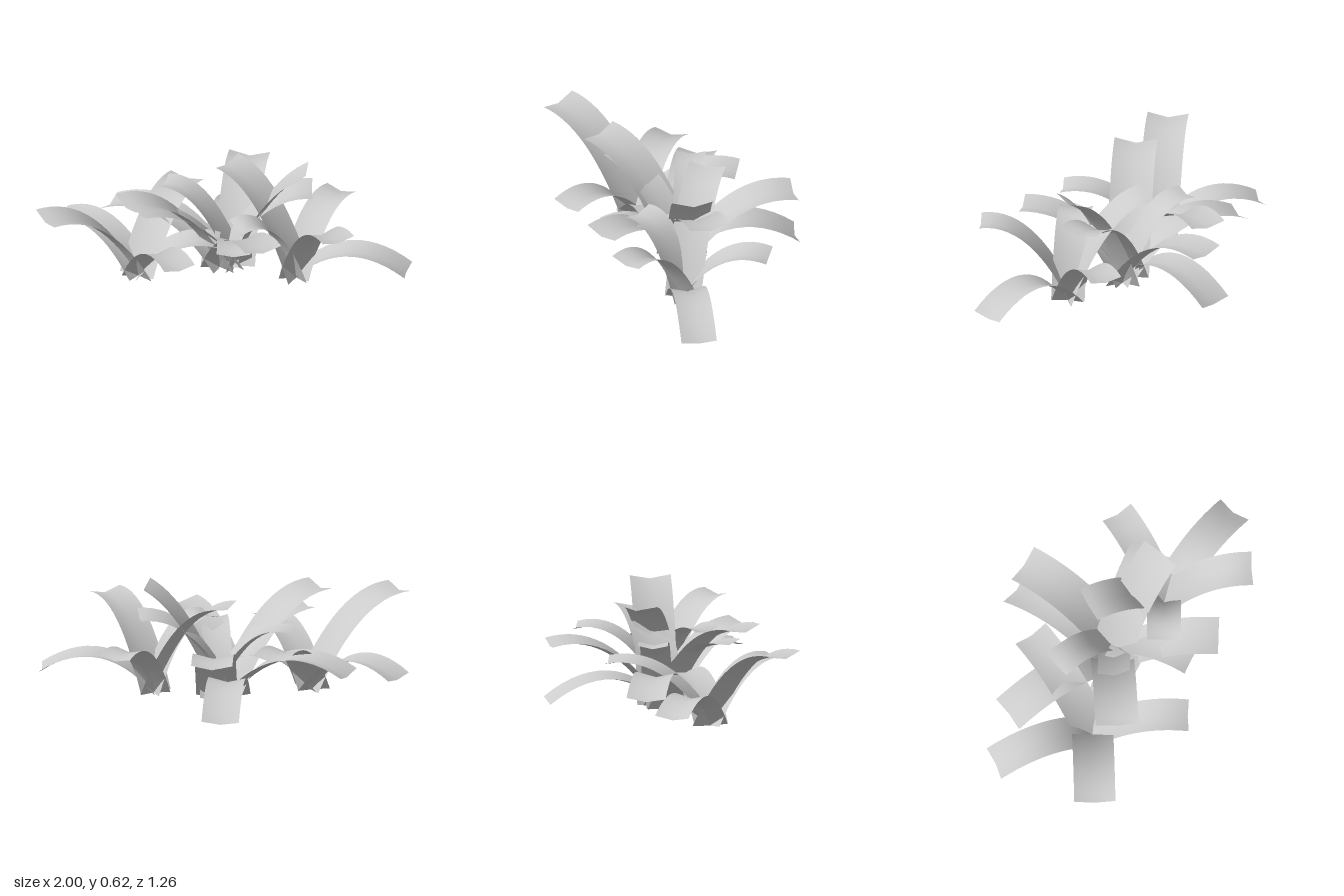
import * as THREE from 'three';

const material = new THREE.MeshStandardMaterial({ color: 0xcccccc, side: THREE.DoubleSide });
const STEPS = 14;

// Leaf blade: a strip of constant width with a shallow V fold, swept along an arch.
// tip = [x, y, z], rise = height of the arch's control point.
function leaf([bx, bz], [tx, ty, tz], rise, width) {
  const dx = tx - bx, dz = tz - bz;
  const reach = Math.hypot(dx, dz);
  const out = new THREE.Vector3(dx / reach, 0, dz / reach);
  const side = new THREE.Vector3(-out.z, 0, out.x);
  const fold = width * 0.12;
  const positions = [], index = [];
  for (let i = 0; i <= STEPS; i++) {
    const t = i / STEPS, a = 2 * t * (1 - t), b = t * t;
    const r = (a * 0.45 + b) * reach;
    const y = a * rise + b * ty;
    // arch tangent, then the normal on the upper side
    const dr = (0.9 * (1 - 2 * t) + 2 * t) * reach;
    const dy = 2 * (1 - 2 * t) * rise + 2 * t * ty;
    const len = Math.hypot(dr, dy);
    for (const s of [-1, 0, 1]) {
      const lift = s === 0 ? 0 : fold;
      const p = out.clone().multiplyScalar(r - (dy / len) * lift)
        .addScaledVector(side, s * width / 2);
      positions.push(bx + p.x, y + (dr / len) * lift, bz + p.z);
    }
    if (i < STEPS) {
      for (let j = 0; j < 2; j++) {
        const k = i * 3 + j;
        index.push(k, k + 1, k + 3, k + 1, k + 4, k + 3);
      }
    }
  }
  const geometry = new THREE.BufferGeometry();
  geometry.setAttribute('position', new THREE.Float32BufferAttribute(positions, 3));
  geometry.setIndex(index);
  geometry.computeVertexNormals();
  const mesh = new THREE.Mesh(geometry, material);
  mesh.name = 'leaf';
  return mesh;
}

// Each clump: root position, then leaves as [tip, rise, width]
const clumps = [
  { name: 'rightClump', root: [-0.46, 0.13], leaves: [
    [[-0.945, 0.46, 0.40], 0.48, 0.22],
    [[-0.90, 0.16, -0.22], 0.34, 0.19],
    [[-0.22, 0.32, -0.365], 0.39, 0.2],
    [[-0.225, 0.28, 0.58], 0.36, 0.18],
    [[-0.03, 0.19, 0.11], 0.27, 0.19],
  ] },
  { name: 'middleClump', root: [-0.03, 0.02], leaves: [
    [[0.06, 0.05, -0.60], 0.32, 0.2],
    [[0.22, 0.37, 0.53], 0.4, 0.21],
    [[-0.52, 0.51, 0.31], 0.53, 0.23],
    [[-0.63, 0.20, -0.28], 0.4, 0.21],
    [[0.46, 0.45, 0.0], 0.47, 0.23],
  ] },
  { name: 'innerClump', root: [0.05, 0.0], leaves: [
    [[0.105, 0.35, -0.58], 0.43, 0.22],
    [[-0.335, 0.41, -0.15], 0.46, 0.16],
    [[0.06, 0.30, 0.45], 0.38, 0.18],
    [[0.43, 0.60, 0.08], 0.48, 0.22],
    [[-0.45, 0.43, 0.24], 0.42, 0.17],
  ] },
  { name: 'leftClump', root: [0.38, 0.12], leaves: [
    [[0.97, 0.10, 0.225], 0.33, 0.19],
    [[0.62, 0.435, 0.52], 0.48, 0.19],
    [[0.605, 0.31, -0.28], 0.39, 0.18],
    [[0.0, 0.54, -0.135], 0.52, 0.2],
    [[0.075, 0.37, 0.28], 0.45, 0.18],
  ] },
];

export function createModel() {
  const model = new THREE.Group();
  model.name = 'leafyPlants';
  for (const { name, root, leaves } of clumps) {
    const clump = new THREE.Group();
    clump.name = name;
    for (const [tip, rise, width] of leaves) clump.add(leaf(root, tip, rise, width));
    model.add(clump);
  }
  return model;
}
